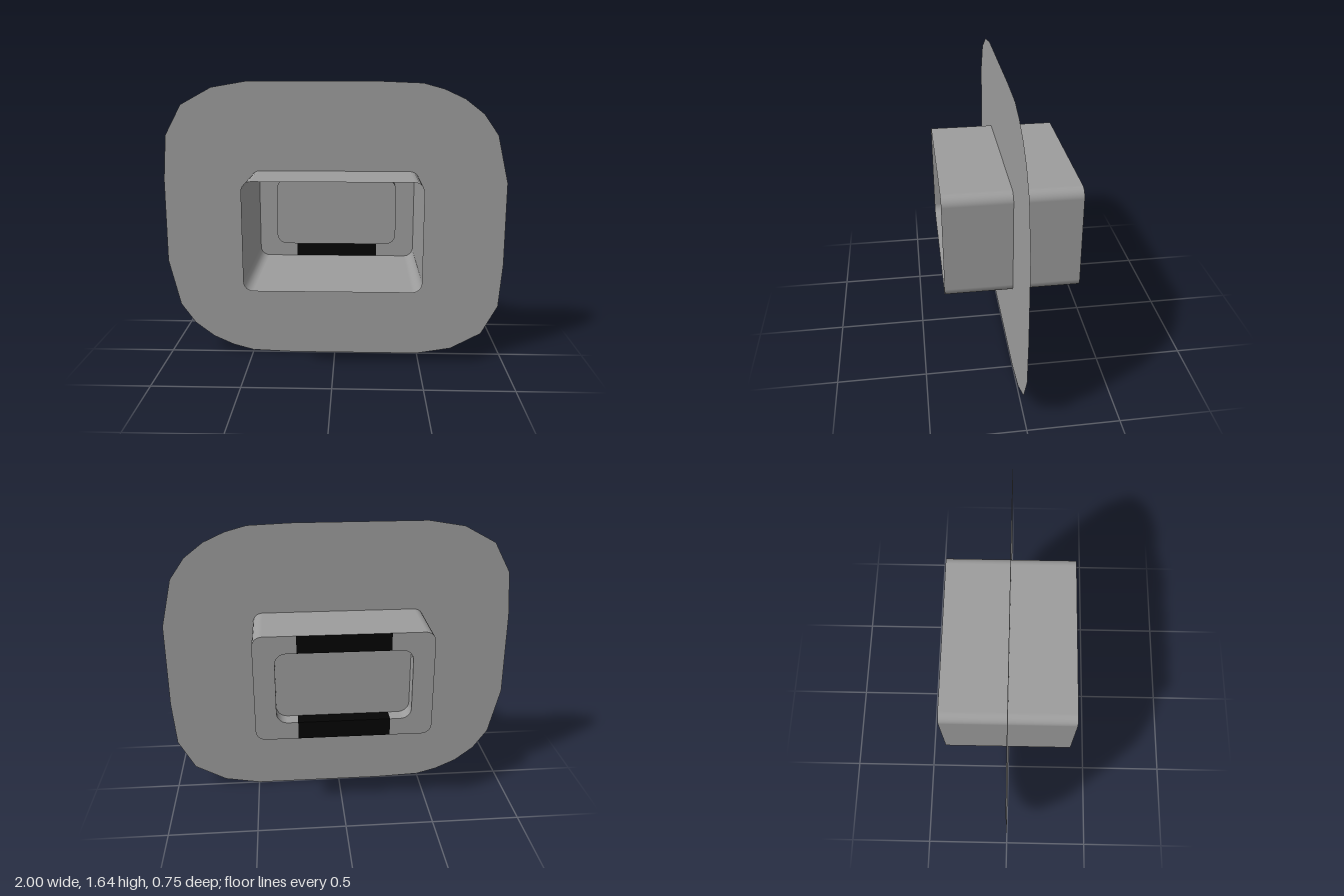
import * as THREE from 'three';

const CENTRE_Y = 0.818;
const BACK = -0.373, FRONT = 0.373, RECESS = -0.29;
const BAND = 0.255; // half width of the dark bands
const OUTER = { w: 0.98, h: 0.61, r: 0.055 };
const INNER = { w: 0.745, h: 0.41, r: 0.06 };

const grey = new THREE.MeshStandardMaterial({ color: 0x9d9d9d, side: THREE.DoubleSide });
const dark = new THREE.MeshStandardMaterial({ color: 0x040404, side: THREE.DoubleSide });

// Right-hand side of a rounded rectangle, bottom to top, with outward normals
function sideProfile({ w, h, r }) {
  const pts = [{ x: BAND, y: -h / 2, nx: 0, ny: -1 }];
  for (const s of [-1, 1]) {
    for (let i = 0; i <= 6; i++) {
      const a = (i / 6) * Math.PI / 2 + (s < 0 ? -Math.PI / 2 : 0);
      const nx = Math.cos(a), ny = Math.sin(a);
      pts.push({ x: w / 2 - r + r * nx, y: s * (h / 2 - r) + r * ny, nx, ny });
    }
  }
  pts.push({ x: BAND, y: h / 2, nx: 0, ny: 1 });
  return pts;
}

const rotated = pts => pts.map(p => ({ x: -p.x, y: -p.y, nx: -p.nx, ny: -p.ny }));
const fullProfile = size => {
  const side = sideProfile(size);
  return [...side, ...rotated(side)];
};
const vectors = pts => pts.map(p => new THREE.Vector2(p.x, p.y));

// Smooth wall swept along z from a profile
function wall(pts, z0, z1) {
  const pos = [], nor = [], idx = [];
  pts.forEach((p, i) => {
    pos.push(p.x, p.y, z0, p.x, p.y, z1);
    nor.push(p.nx, p.ny, 0, p.nx, p.ny, 0);
    if (i < pts.length - 1) {
      const a = 2 * i;
      idx.push(a, a + 2, a + 3, a, a + 3, a + 1);
    }
  });
  const g = new THREE.BufferGeometry();
  g.setAttribute('position', new THREE.Float32BufferAttribute(pos, 3));
  g.setAttribute('normal', new THREE.Float32BufferAttribute(nor, 3));
  g.setIndex(idx);
  return g;
}

export function createModel() {
  const model = new THREE.Group();
  model.name = 'wallSocketHousing';
  const body = new THREE.Group();
  body.name = 'body';
  body.position.y = CENTRE_Y;
  model.add(body);

  const add = (name, geometry, material = grey, z = 0, parent = body) => {
    const mesh = new THREE.Mesh(geometry, material);
    mesh.name = name;
    mesh.position.z = z;
    parent.add(mesh);
  };

  // Thin surrounding sheet: half an outline, repeated with a half turn
  const half = [
    [1, 0.24], [0.935, 0.515], [0.85, 0.635], [0.74, 0.72], [0.62, 0.775], [0.5, 0.808],
    [0.25, CENTRE_Y], [-0.5, CENTRE_Y], [-0.705, 0.783], [-0.885, 0.685], [-0.98, 0.51], [-1, 0.25],
  ];
  const outline = [...half, ...half.map(([x, y]) => [-x, -y])];
  const sheet = new THREE.Shape(outline.map(([x, y]) => new THREE.Vector2(x, y)));
  sheet.holes.push(new THREE.Path(vectors(fullProfile(OUTER))));
  add('sheet', new THREE.ShapeGeometry(sheet));

  // Open-fronted box passing through the sheet
  const boxLoop = fullProfile(OUTER);
  add('boxWalls', wall([...boxLoop, boxLoop[0]], BACK, FRONT));

  // Recessed panel in the back
  add('recessPanel', new THREE.ShapeGeometry(new THREE.Shape(vectors(fullProfile(INNER)))), grey, RECESS);

  // Each half turn gives one grey frame side and one dark band
  const outer = sideProfile(OUTER), inner = sideProfile(INNER);
  const frame = new THREE.Shape(vectors([...outer, ...[...inner].reverse()]));
  const bandHeight = (OUTER.h - INNER.h) / 2;
  for (const [i, side] of ['left', 'right'].entries()) {
    const part = new THREE.Group();
    part.name = side + 'BackHalf';
    part.rotation.z = i * Math.PI;
    body.add(part);
    add(side + 'Frame', new THREE.ShapeGeometry(frame), grey, BACK, part);
    add(side + 'RecessWall', wall(inner, BACK, RECESS), grey, 0, part);

    const edge = i === 0 ? 'top' : 'bottom';
    const band = new THREE.PlaneGeometry(2 * BAND, bandHeight);
    band.translate(0, INNER.h / 2 + bandHeight / 2, 0);
    add(edge + 'Band', band, dark, BACK, part);
    const lip = [BAND, -BAND].map(x => ({ x, y: INNER.h / 2, nx: 0, ny: 1 }));
    add(edge + 'BandLip', wall(lip, BACK, RECESS), dark, 0, part);
  }
  return model;
}
